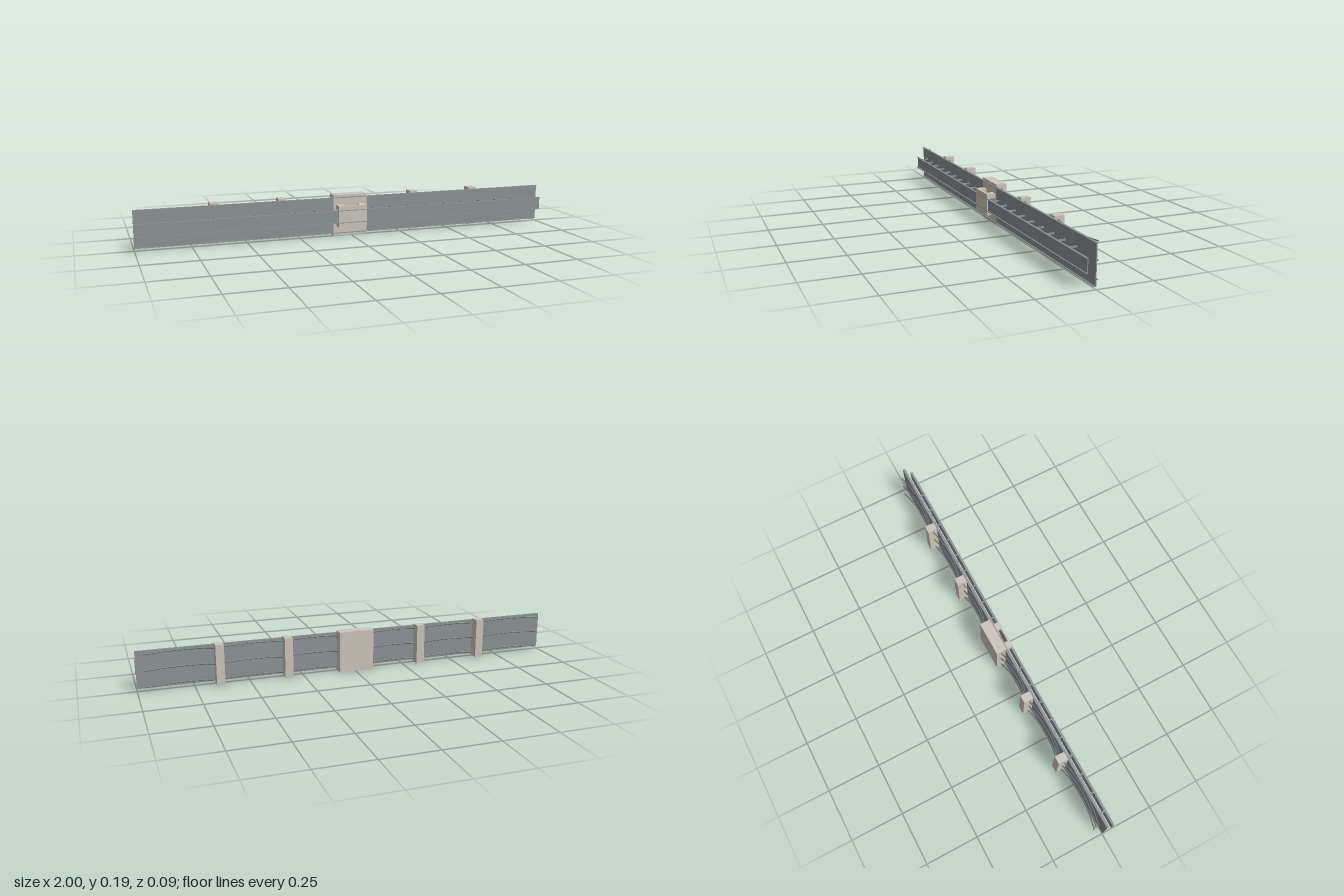
import * as THREE from 'three';

export function createModel() {
  const model = new THREE.Group();
  const steel = new THREE.MeshStandardMaterial({ color: 0x8b9294 });
  steel.name = 'grey steel';
  const rodSteel = new THREE.MeshStandardMaterial({ color: 0x6e7476 });
  rodSteel.name = 'dark steel';
  const stone = new THREE.MeshStandardMaterial({ color: 0xcbc4ba });
  stone.name = 'pale stone';

  // Box given by its low and high corners
  function box(name, mat, [x0, y0, z0], [x1, y1, z1], parent = model) {
    const mesh = new THREE.Mesh(new THREE.BoxGeometry(x1 - x0, y1 - y0, z1 - z0), mat);
    mesh.position.set((x0 + x1) / 2, (y0 + y1) / 2, (z0 + z1) / 2);
    mesh.name = name;
    parent.add(mesh);
  }

  // Channel rail: upright web with two lips turned forward, swept along x
  function channel(name, y0, y1, z0, z1, web, lip) {
    const s = new THREE.Shape();
    [[z0, y0], [z1, y0], [z1, y0 + lip], [z0 + web, y0 + lip],
      [z0 + web, y1 - lip], [z1, y1 - lip], [z1, y1], [z0, y1]]
      .forEach(([z, y], i) => (i ? s.lineTo(-z, y) : s.moveTo(-z, y)));
    const geo = new THREE.ExtrudeGeometry(s, { depth: 2, bevelEnabled: false });
    geo.rotateY(Math.PI / 2).translate(-1, 0, 0);
    const mesh = new THREE.Mesh(geo, steel);
    mesh.name = name;
    model.add(mesh);
  }
  channel('mainPanel', 0.012, 0.184, 0, 0.011, 0.004, 0.003);
  channel('frontRail', 0.067, 0.128, 0.0365, 0.0465, 0.004, 0.003);

  // Pairs of spacers between panel and front rail, skipping the central clamp
  const spacers = new THREE.Group();
  spacers.name = 'spacers';
  model.add(spacers);
  for (let i = 0; i < 20; i++) {
    if (i === 9 || i === 10) continue;
    const x = -0.928 + i * 0.0938;
    for (const y of [0.0725, 0.1245]) {
      box('spacer', steel, [x - 0.003, y - 0.0035, 0.003], [x + 0.003, y + 0.0035, 0.038], spacers);
    }
  }

  // Rear posts and the wide central block
  const mid = -0.004;
  for (const dx of [-0.641, -0.326, 0.326, 0.641]) {
    box('post', stone, [mid + dx - 0.019, 0.004, -0.046], [mid + dx + 0.019, 0.192, 0]);
  }
  box('centreBlock', stone, [mid - 0.083, 0, -0.046], [mid + 0.083, 0.195, 0.0045]);

  // Front clamp: plate on four corner legs
  const clamp = new THREE.Group();
  clamp.name = 'frontClamp';
  model.add(clamp);
  box('clampPlate', stone, [mid - 0.069, 0.048, 0.037], [mid + 0.069, 0.149, 0.0455], clamp);
  for (const side of [-1, 1]) {
    const x = mid + side * 0.052;
    for (const [y0, y1] of [[0.048, 0.07], [0.127, 0.149]]) {
      box('clampLeg', stone, [x - 0.017, y0, 0.004], [x + 0.017, y1, 0.038], clamp);
    }
  }

  // Bowed rods: three per span, touching the panel mid-span
  const stops = [-0.966, -0.641, -0.326, -0.078];
  const spans = [];
  for (let i = 0; i < 3; i++) {
    spans.push([stops[i], stops[i + 1]], [-stops[i + 1], -stops[i]]);
  }
  const rods = new THREE.Group();
  rods.name = 'bowedRods';
  model.add(rods);
  for (const [a, b] of spans) {
    const points = [];
    for (let k = 0; k <= 8; k++) {
      const t = k / 4 - 1;
      points.push(new THREE.Vector3(mid + a + (b - a) * k / 8, 0, -0.002 - 0.023 * t * t));
    }
    const curve = new THREE.CatmullRomCurve3(points);
    const geo = new THREE.TubeGeometry(curve, 16, 0.003, 8);
    for (const y of [0.024, 0.099, 0.174]) {
      const rod = new THREE.Mesh(geo, rodSteel);
      rod.position.y = y;
      rod.name = 'bowedRod';
      rods.add(rod);
      // End caps
      for (const p of [points[0], points[8]]) {
        const cap = new THREE.Mesh(new THREE.SphereGeometry(0.003, 8, 6), rodSteel);
        cap.position.set(p.x, y, p.z);
        cap.name = 'rodEnd';
        rods.add(cap);
      }
    }
  }
  return model;
}
